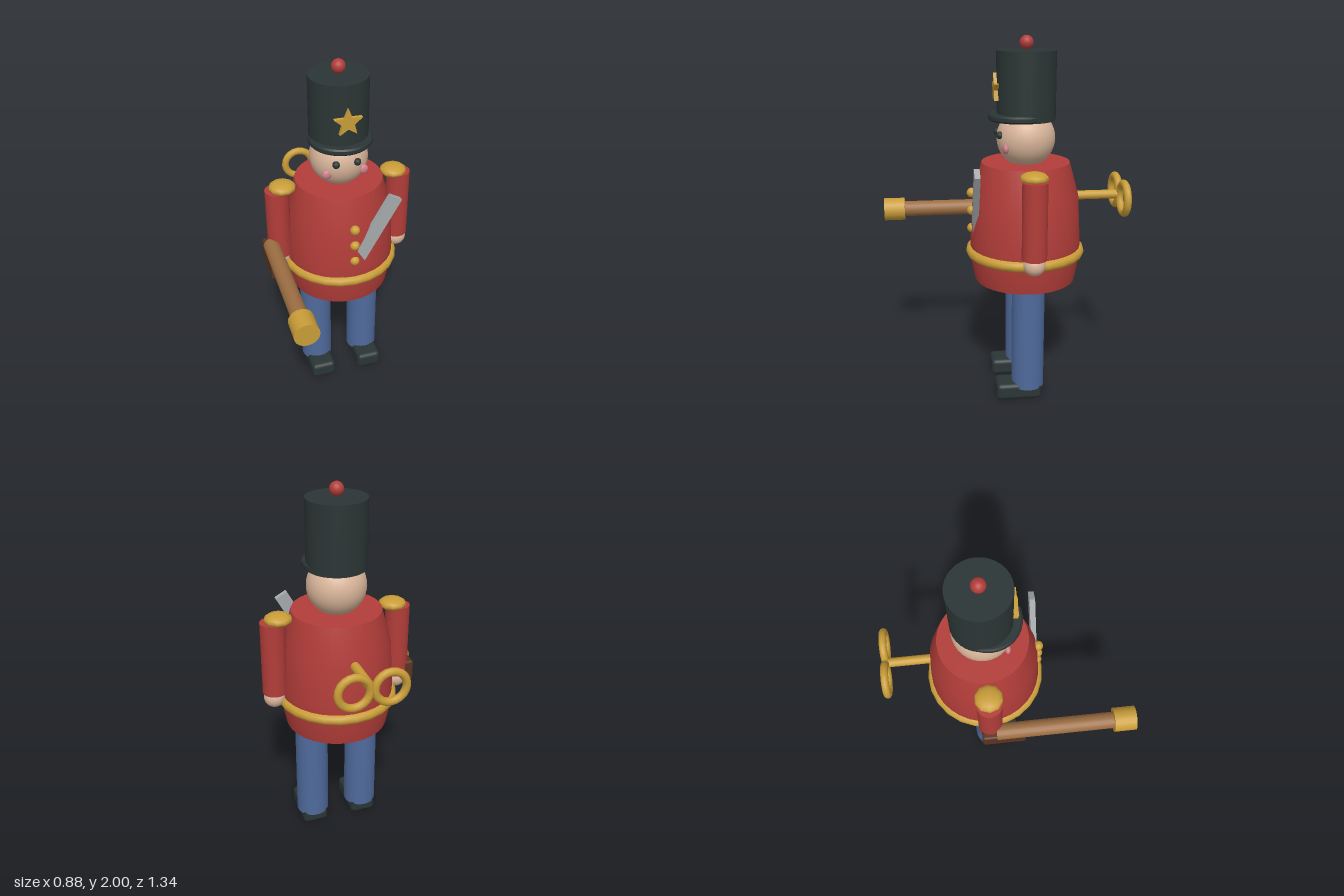
import * as THREE from 'three';
import { toCreasedNormals } from 'three/addons/utils/BufferGeometryUtils.js';
import { RoundedBoxGeometry } from 'three/addons/geometries/RoundedBoxGeometry.js';

const paint = (name, color) => Object.assign(new THREE.MeshStandardMaterial({ color }), { name });

export function createModel() {
  const red = paint('coat red', 0xb23d39);
  const gold = paint('gold', 0xc99d38);
  const blue = paint('trouser blue', 0x4f6a9c);
  const black = paint('hat black', 0x2b3535);
  const skin = paint('skin', 0xd9b59a);
  const pink = paint('cheek pink', 0xd07f8a);
  const grey = paint('sash grey', 0xa6aaac);
  const wood = paint('wood', 0x9c6d42);
  const darkWood = paint('dark wood', 0x5a3420);

  const model = new THREE.Group();
  model.name = 'toySoldier';
  // The figure stands on its own axis, a little off the model centre
  const body = new THREE.Group();
  body.name = 'figure';
  body.position.set(0.025, 0, -0.118);
  model.add(body);

  const add = (parent, name, geometry, material, x, y, z) => {
    const mesh = new THREE.Mesh(geometry, material);
    mesh.name = name;
    mesh.position.set(x, y, z);
    parent.add(mesh);
    return mesh;
  };
  const ball = (r, w = 24, h = 16) => new THREE.SphereGeometry(r, w, h);
  const tube = (r, h, n = 24) => new THREE.CylinderGeometry(r, r, h, n);
  const lathe = (points, n = 32) => toCreasedNormals(
    new THREE.LatheGeometry(points.map(p => new THREE.Vector2(...p)), n), 0.6);

  // Coat and belt
  add(body, 'coat', lathe([[0, 0.67], [0.28, 0.67], [0.305, 0.8], [0.305, 0.9],
    [0.29, 1.15], [0.24, 1.335], [0, 1.335]]), red, 0, 0, 0);
  add(body, 'belt', new THREE.TorusGeometry(0.3, 0.03, 10, 24), gold, 0, 0.835, 0).rotation.x = Math.PI / 2;
  for (const y of [0.967, 1.067, 1.167]) add(body, 'button', ball(0.027, 12, 8), gold, 0, y, 0.296);
  add(body, 'sash', new THREE.BoxGeometry(0.073, 0.59, 0.03), grey, 0.081, 1.069, 0.281).rotation.z = -0.51;

  // Limbs, mirrored
  for (const [side, s] of [['left', 1], ['right', -1]]) {
    add(body, side + 'Leg', tube(0.091, 0.62), blue, s * 0.147, 0.377, 0);
    add(body, side + 'Shoe', new RoundedBoxGeometry(0.145, 0.095, 0.253, 3, 0.025), black, s * 0.147, 0.0475, 0.054);
    add(body, side + 'Arm', tube(0.066, 0.41), red, s * 0.347, 1.1, 0);
    add(body, side + 'Hand', ball(0.058), skin, s * 0.351, 0.865, 0);
    add(body, side + 'Epaulette', ball(0.075, 10, 8), gold, s * 0.316, 1.317, 0).scale.y = 0.45;
    add(body, side + 'Eye', ball(0.02, 12, 10), black, s * 0.058, 1.49, 0.147);
    add(body, side + 'Cheek', ball(0.027, 14, 10), pink, s * 0.1, 1.425, 0.12).scale.z = 0.6;
  }

  // Head and hat
  add(body, 'head', ball(0.158, 32, 20), skin, 0, 1.465, 0);
  add(body, 'hat', tube(0.158, 0.362, 32), black, 0, 1.744, 0);
  add(body, 'hatBrim', lathe([[0, 1.563], [0.162, 1.563], [0.17, 1.572], [0.17, 1.59],
    [0.162, 1.599], [0, 1.599]]), black, 0, 0, 0.033);
  add(body, 'pompom', ball(0.037, 16, 12), red, 0, 1.963, 0);

  // Star badge
  const star = new THREE.Shape(Array.from({ length: 10 }, (_, i) => {
    const r = i % 2 ? 0.034 : 0.078, a = Math.PI / 2 + i * Math.PI / 5;
    return new THREE.Vector2(r * Math.cos(a), r * Math.sin(a));
  }));
  add(body, 'star', new THREE.ExtrudeGeometry(star, { depth: 0.024, bevelEnabled: false }),
    gold, 0, 1.732, 0.151);

  // Wind-up key on the back
  add(body, 'keyShaft', tube(0.025, 0.3, 16), gold, 0, 1.135, -0.382).rotation.x = Math.PI / 2;
  for (const s of [-1, 1]) {
    add(body, 'keyRing', new THREE.TorusGeometry(0.082, 0.021, 10, 20), gold, s * 0.094, 1.135, -0.53);
  }

  // Pop gun in the right hand
  const gun = new THREE.Group();
  gun.name = 'popGun';
  gun.position.set(-0.375, 0.97, 0);
  model.add(gun);
  add(gun, 'barrel', tube(0.045, 0.66, 20), wood, 0, 0, 0.24).rotation.x = Math.PI / 2;
  add(gun, 'muzzle', tube(0.066, 0.12, 20), gold, 0, 0, 0.61).rotation.x = Math.PI / 2;
  add(gun, 'stock', new RoundedBoxGeometry(0.077, 0.12, 0.24, 2, 0.014), darkWood, 0, -0.06, -0.05);

  return model;
}
